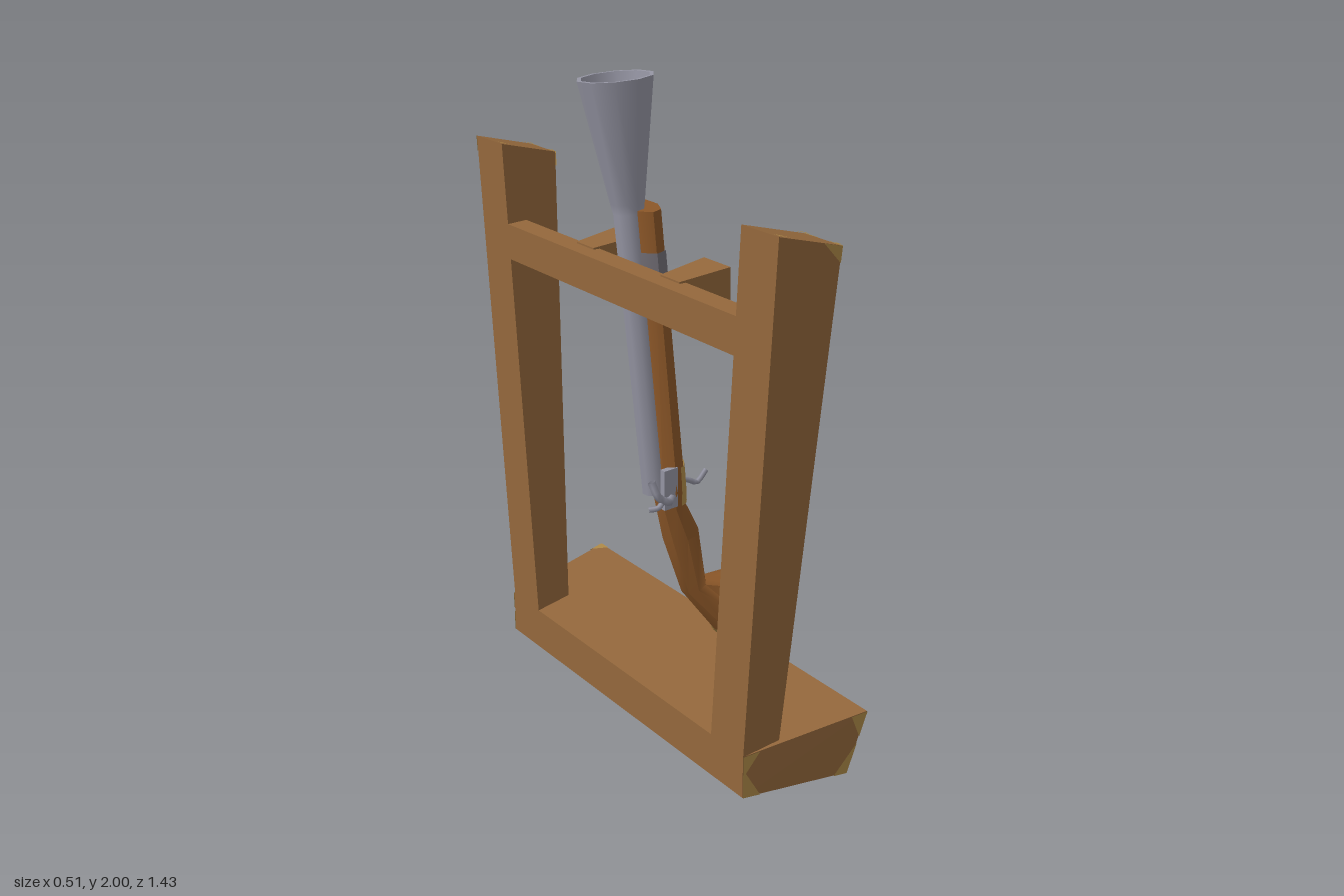
import * as THREE from 'three';
import { toCreasedNormals } from 'three/addons/utils/BufferGeometryUtils.js';

const mat = (name, color, side = THREE.FrontSide) => {
  const m = new THREE.MeshStandardMaterial({ color, side });
  m.name = name;
  return m;
};

export function createModel() {
  const model = new THREE.Group();
  const timber = mat('standTimber', 0x94683c);
  const stockWood = mat('stockWood', 0x8c5728);
  const worn = mat('wornEdge', 0xae8a48, THREE.DoubleSide);
  const steel = mat('steel', 0x9595a3, THREE.DoubleSide);
  const iron = mat('ironBand', 0x716d74);

  const add = (name, geo, material, parent = model) => {
    const mesh = new THREE.Mesh(geo, material);
    mesh.name = name;
    parent.add(mesh);
    return mesh;
  };

  const geometry = (verts, index) => {
    const g = new THREE.BufferGeometry();
    g.setAttribute('position', new THREE.Float32BufferAttribute(verts.flat(), 3));
    if (index) g.setIndex(index);
    g.computeVertexNormals();
    return g;
  };

  // Six-faced block; corners run counter-clockwise seen from above
  const blockFaces = (b, t) => [
    t, [...b].reverse(),
    ...[0, 1, 2, 3].map(i => [b[i], b[(i + 1) % 4], t[(i + 1) % 4], t[i]]),
  ];
  const block = (name, b, t) => add(name,
    geometry(blockFaces(b, t).flatMap(([p, q, r, s]) => [p, q, r, p, r, s])), timber);
  const mirrorZ = ring => ring.map(([x, y, z]) => [x, y, -z]).reverse();

  // Thin worn triangle on one corner of a face
  const wear = (face, i, f, g) => {
    const q = face.map(p => new THREE.Vector3(...p));
    const a = q[i], b = q[(i + 1) % 4], c = q[(i + 3) % 4];
    const n = b.clone().sub(a).cross(c.clone().sub(a)).normalize().multiplyScalar(0.003);
    const tri = [a.clone(), a.clone().lerp(b, f), a.clone().lerp(c, g)];
    add('wornCorner', geometry(tri.map(p => p.add(n).toArray())), worn);
  };

  // Base beam
  const b0 = [[-.25, .04, .6], [.11, 0, .655], [.11, 0, -.66], [-.25, .04, -.605]];
  const b1 = [[-.25, .18, .6], [.17, .2, .67], [.17, .2, -.685], [-.25, .18, -.605]];
  block('base', b0, b1);
  const baseFaces = blockFaces(b0, b1);
  for (const k of [2, 4]) {
    wear(baseFaces[k], 0, .16, .7);
    wear(baseFaces[k], 1, .5, .13);
    wear(baseFaces[k], 2, .13, .4);
    wear(baseFaces[k], 3, .5, .13);
  }
  wear(baseFaces[0], 2, .12, .03);

  // Posts lean outward and widen toward the top
  const p0 = [[-.25, .17, .6], [-.12, .17, .605], [-.12, .17, .47], [-.25, .17, .455]];
  const p1 = [[-.25, 1.735, .70], [-.05, 1.68, .713], [-.05, 1.68, .572], [-.25, 1.735, .558]];
  // Pegs flare toward their tips
  const g0 = [[-.2, 1.37, .245], [-.035, 1.355, .262], [-.035, 1.355, .145], [-.2, 1.37, .16]];
  const g1 = g0.map(([x, y, z], i) => [x, i === 1 || i === 2 ? 1.51 : 1.495, z]);
  for (const s of [1, -1]) {
    const side = ring => (s > 0 ? ring : mirrorZ(ring));
    block('post', side(p0), side(p1));
    block('peg', side(g0), side(g1));
    const f = blockFaces(side(p0), side(p1));
    for (const i of [0, 1, 2]) wear(f[0], i, .16, .16);
    wear(f[3], 2, .35, .03);
    wear(f[3], 3, .03, .35);
    wear(f[s > 0 ? 2 : 4], 2, .3, .03);
  }
  const bar = add('crossbar', new THREE.BoxGeometry(.07, .11, 1.12), timber);
  bar.position.set(-.215, 1.435, 0);

  // Gun: rings given as [back x, back y, front x, front y, centre z, half width]
  const gun = new THREE.Group();
  gun.name = 'gun';
  model.add(gun);
  const SIDES = 8, TWIST = .25;
  const loft = (rings, arc = Math.PI, grow = 0, tips = []) => {
    const verts = [], index = [], n = SIDES + 1;
    for (const [ax, ay, bx, by, cz, h] of rings) {
      const u = (bx - ax) / 2 + grow, w = h + grow;
      for (let i = 0; i < n; i++) {
        const a = -arc + 2 * arc * i / SIDES, c = Math.cos(a), s = Math.sin(a);
        verts.push([
          (ax + bx) / 2 + u * c - TWIST * w * s,
          (ay + by) / 2 + (by - ay) / 2 * c,
          cz + TWIST * u * c + w * s,
        ]);
      }
    }
    for (let r = 0; r < rings.length - 1; r++) {
      for (let i = 0; i < SIDES; i++) {
        const p = r * n + i, q = p + n;
        index.push(p, q, p + 1, q, q + 1, p + 1);
      }
    }
    // Pointed or flat end caps
    tips.forEach((tip, e) => {
      const start = e ? (rings.length - 1) * n : 0;
      verts.push(tip);
      for (let i = 0; i < SIDES; i++) {
        const p = start + i, m = verts.length - 1;
        index.push(...(e ? [p + 1, p, m] : [p, p + 1, m]));
      }
    });
    return toCreasedNormals(geometry(verts, index), .75);
  };

  // Straight fore-end section at height y
  const fore = y => {
    const t = (y - .78) / .84, m = THREE.MathUtils.lerp;
    return [m(-.095, -.13, t), y, m(0, -.037, t), y, m(-.012, -.077, t), m(.068, .077, t)];
  };
  const butt = [.11, .2, .19, .41, .05, .104];
  const rings = [
    butt,
    [-.02, .385, .06, .41, .032, .042],
    [-.075, .58, .042, .59, .013, .055],
    [-.095, .69, -.002, .69, .004, .045],
    [-.1, .75, 0, .75, -.008, .066],
    fore(.8), fore(1.62),
  ];
  add('stock', loft(rings, Math.PI, 0, [[.255, .27, .06], [-.083, 1.62, -.077]]), stockWood, gun);
  add('wornGrip', loft([[-.095, .7, -.001, .7, .002, .046], [-.1, .75, 0, .75, -.008, .066],
    fore(.8), fore(.83)], 1.2, .003), worn, gun);
  add('wornButtEdge', loft([[.116, .205, .196, .405, .05, .098], butt,
    [.097, .215, .176, .41, .049, .099]], 3.1, .003), worn, gun);
  add('barrelBand', loft([fore(1.41), fore(1.5)], Math.PI, .004), iron, gun);

  // Flared barrel along a leaning axis
  const breech = new THREE.Vector3(-.09, .74, -.015);
  const axis = new THREE.Vector3(-.145, 1.99, -.115).sub(breech);
  const L = axis.length();
  const profile = [[0, 0], [.042, 0], [.046, .87], [.052, .9], [.112, L], [.112, L],
    [.1, L], [.1, L], [.035, .92], [0, .88]].map(([r, y]) => new THREE.Vector2(r, y));
  const barrel = add('barrel', new THREE.LatheGeometry(profile, 10), steel, gun);
  barrel.position.copy(breech);
  barrel.quaternion.setFromUnitVectors(new THREE.Vector3(0, 1, 0), axis.normalize());

  // Lock and trigger from bent rods
  const rod = (name, pts, r) => add(name, new THREE.TubeGeometry(
    new THREE.CatmullRomCurve3(pts.map(p => new THREE.Vector3(...p))), 8, r, 5), steel, gun);
  rod('trigger', [[-.01, .765, 0], [.025, .75, .002], [.055, .735, .004], [.09, .768, .006]], .009);
  rod('hammer', [[-.08, .74, .05], [-.115, .745, .08], [-.15, .77, .08], [-.165, .82, .065]], .013);
  rod('hammerSpur', [[-.13, .76, .08], [-.155, .74, .085], [-.18, .735, .07]], .009);
  const plate = add('lockPlate', new THREE.BoxGeometry(.05, .13, .02), steel, gun);
  plate.position.set(-.085, .77, .046);
  return model;
}
